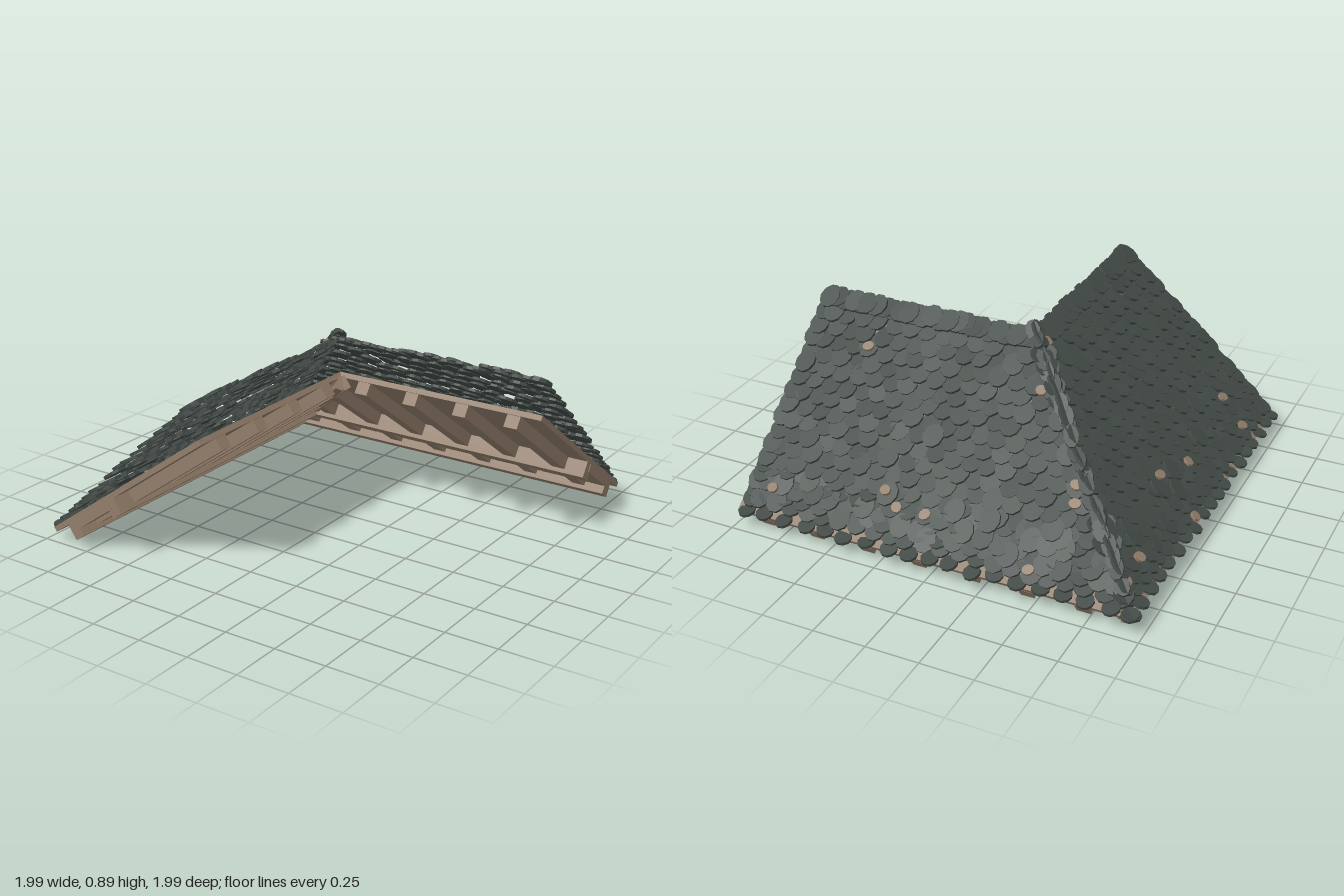
import * as THREE from 'three';
import { mergeGeometries } from 'three/addons/utils/BufferGeometryUtils.js';

const SLOPE = 0.71, PITCH = Math.atan(SLOPE);   // timber deck pitch
const EAVE = -0.95, INNER = -0.07;              // deck limits, measured across a wing
const COS = Math.cos(PITCH);
const w = (t) => (t - INNER) / COS;             // plan distance -> distance up the slope
const roofHeight = (t) => 0.125 + (t + 0.93) * 0.915;   // shingle surface

// Wooden chips on each wing: distance along it, distance across it
const CHIPS = {
  back: [[0.06, -0.83], [0.24, -0.83], [0.31, -0.79], [0.85, -0.88], [0.63, -0.32],
    [-0.47, -0.92], [-0.57, -0.68], [-0.54, -0.62], [-0.24, -0.34]],
  right: [[-0.7, -0.87], [-0.83, -0.88], [0.08, -0.82], [-0.17, -0.95], [0.62, -0.9],
    [0.66, -0.78], [-0.17, -0.77], [-0.27, -0.32], [-0.12, -0.19]],
};

// Seeded noise in -0.5..0.5
function makeNoise(seed) {
  return () => {
    seed = (seed * 16807) % 2147483647;
    return seed / 2147483647 - 0.5;
  };
}

function polygon(points) {
  return new THREE.Shape(points.map(([x, y]) => new THREE.Vector2(x, y)));
}

// Timber: outline on the roof slope [x, plan z], between two depths below the deck top
function timber(points, d0, d1) {
  const geo = new THREE.ExtrudeGeometry(polygon(points.map(([x, t]) => [x, w(t)])),
    { depth: d1 - d0, bevelEnabled: false });
  geo.translate(0, 0, d0);
  geo.rotateX(Math.PI / 2 - PITCH);
  geo.translate(0, 0.70, INNER);
  return geo;
}

// Rounded ten-sided shingle with its tip at the origin, running up local y
function shingle(width, length) {
  const pts = [];
  for (let i = 0; i < 10; i++) {
    const a = (i / 10) * Math.PI * 2 - Math.PI / 2 + Math.PI / 10;
    pts.push([Math.cos(a) * width / 2, (Math.sin(a) + 0.951) * length / 1.902]);
  }
  return new THREE.ExtrudeGeometry(polygon(pts), { depth: 0.014, bevelEnabled: false });
}

function lay(base, x, y, z, pitch, yaw = 0, roll = 0) {
  const geo = base.clone();
  geo.rotateZ(yaw);
  geo.rotateY(roll);
  geo.rotateX(Math.PI / 2 - pitch);
  geo.translate(x, y, z);
  return geo;
}

// Swap x and z to make the second wing, keeping faces outward
function mirrored(geo) {
  const out = geo.clone();
  const p = out.attributes.position;
  for (let i = 0; i < p.count; i += 3) {
    const v = [0, 2, 1].map((k) => [p.getZ(i + k), p.getY(i + k), p.getX(i + k)]);
    v.forEach((c, k) => p.setXYZ(i + k, ...c));
  }
  out.computeVertexNormals();
  return out;
}

function join(list) {
  const geo = mergeGeometries(list.map((g) => (g.index ? g.toNonIndexed() : g)));
  geo.computeVertexNormals();
  return geo;
}

// Rafters, shortened where they meet the hip
function rafters() {
  const list = [];
  for (let i = 0; i < 7; i++) {
    const x = -0.715 + i * 0.2625, h = 0.033;
    const a = Math.min(-0.075, x - h), b = Math.min(-0.075, x + h);
    list.push(timber([[x - h, -0.951], [x + h, -0.951], [x + h, b], [x - h, a]], 0.025, 0.085));
  }
  return join(list);
}

// Two long purlins under the rafters
function purlins() {
  return join([-0.587, -0.823].map((t) => {
    const t0 = t - 0.05;
    return timber([[t0, t0], [0.995, t0], [0.995, t], [t, t]], 0.025, 0.105);
  }));
}

// Lining boards between the purlins
function liningBoards() {
  const list = [];
  for (let i = 0; i < 18; i++) {
    const x = -0.57 + i * 0.0875;
    list.push(timber([[x, -0.84], [x + 0.08, -0.84], [x + 0.08, -0.62], [x, -0.62]], 0.025, 0.065));
  }
  return join(list);
}

// Shingle courses, staggered and cut straight at the open end of the wing
function shingles() {
  const noise = makeNoise(4217);
  const tile = shingle(0.1, 0.112), eaveTile = shingle(0.082, 0.08);
  const tiles = [];

  const rows = [];
  for (let t = -0.945; t < -0.82; t += 0.03) rows.push(t);
  for (let t = -0.8; t < -0.18; t += 0.0505) rows.push(t);
  rows.push(-0.192);
  rows.forEach((t, r) => {
    const shake = t < -0.81 ? 0.3 : 0.12;
    for (let k = 0; k < 25; k++) {
      const x = Math.min(0.94, 0.982 - (k + (r % 2) * 0.5) * 0.085 + noise() * 0.016);
      if (x < t + 0.03) break;
      tiles.push(lay(tile, x, roofHeight(t) + noise() * 0.012, t + noise() * 0.016,
        0.57 + noise() * shake, noise() * 0.25, noise() * 0.15));
    }
  });

  // Flatter course overhanging the eave
  for (let k = 0; k < 19; k++) {
    const x = 0.945 - k * 0.105 + noise() * 0.02;
    tiles.push(lay(eaveTile, x, 0.085 + noise() * 0.02, -0.99 + (noise() + 0.5) * 0.012,
      0.3 + noise() * 0.25, noise() * 0.4, noise() * 0.3));
  }
  return join(tiles);
}

// Closely lapped capping along the hip
function hipShingles() {
  const noise = makeNoise(977);
  const cap = shingle(0.068, 0.105), caps = [];
  for (let t = -0.92; t < -0.14; t += 0.034) {
    caps.push(lay(cap, t + 0.026 + noise() * 0.02, roofHeight(t) + 0.028 + noise() * 0.025, t,
      0.68 + noise() * 0.25, -0.5 + noise() * 0.4, noise() * 0.4));
  }
  return join(caps);
}

// Thin wooden chips lying on the shingles
function chips(places) {
  const noise = makeNoise(311);
  const chip = shingle(0.055, 0.045);
  return join(places.map(([x, t]) =>
    lay(chip, x, roofHeight(t - 0.015) + 0.026, t - 0.015, 0.62, noise() * 2, noise() * 0.3)));
}

export function createModel() {
  const slate = new THREE.MeshStandardMaterial({ color: 0x424a46, side: THREE.DoubleSide });
  slate.name = 'slate';
  const wood = new THREE.MeshStandardMaterial({ color: 0x917c69, side: THREE.DoubleSide });
  wood.name = 'wood';

  const parts = [
    ['deck', timber([[EAVE, EAVE], [0.995, EAVE], [0.995, INNER], [INNER, INNER]], 0, 0.025), wood],
    ['rafters', rafters(), wood],
    ['purlins', purlins(), wood],
    ['liningBoards', liningBoards(), wood],
    ['hipRafter', timber([[-0.91, -0.94], [-0.865, -0.94], [-0.02, -0.065], [-0.045, -0.045]], 0.025, 0.09), wood],
    ['shingles', shingles(), slate],
    ['hipShingles', hipShingles(), slate],
  ];

  // The two wings mirror each other across the diagonal hip
  const model = new THREE.Group();
  model.name = 'cornerRoof';
  for (const side of ['back', 'right']) {
    const wing = new THREE.Group();
    wing.name = side + 'Wing';
    for (const [name, source, material] of [...parts, ['chips', chips(CHIPS[side]), wood]]) {
      const geo = join([source]);
      const mesh = new THREE.Mesh(side === 'back' ? geo : mirrored(geo), material);
      mesh.name = name;
      wing.add(mesh);
    }
    model.add(wing);
  }
  return model;
}
